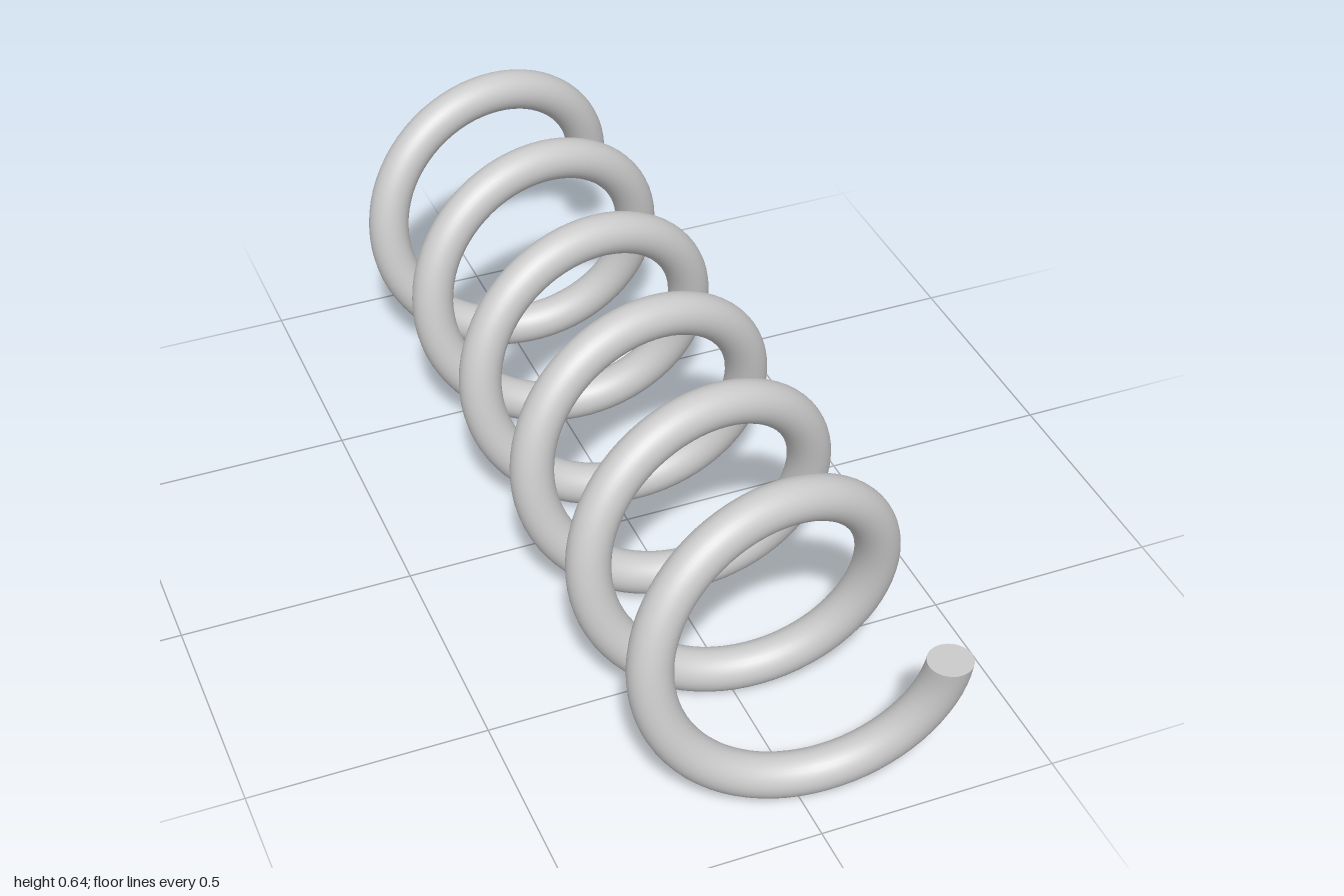
import * as THREE from 'three';
import { mergeVertices } from 'three/addons/utils/BufferGeometryUtils.js';

const TURNS = 6;
const WIRE = 0.0455; // wire radius
const COIL = 0.273; // radius of the coil's centre line
const HALF = 1 - WIRE; // z of the wire's end centres
const SIDES = 32;

export function createModel() {
  const group = new THREE.Group();
  group.name = 'coilSpring';
  const material = new THREE.MeshStandardMaterial({ color: 0xcccccc });
  const centreY = COIL + WIRE;

  // Coil: a torus wound six times round, drawn out along z
  const steps = TURNS * 72;
  let geometry = new THREE.TorusGeometry(COIL, WIRE, SIDES, steps, TURNS * Math.PI * 2);
  const pos = geometry.attributes.position;
  for (let i = 0; i < pos.count; i++) {
    const t = (i % (steps + 1)) / steps;
    pos.setZ(i, pos.getZ(i) + HALF * (2 * t - 1));
  }
  // Weld the seam so the shading stays smooth
  geometry.deleteAttribute('uv');
  geometry.deleteAttribute('normal');
  geometry = mergeVertices(geometry, 1e-5);
  geometry.computeVertexNormals();
  const coil = new THREE.Mesh(geometry, material);
  coil.name = 'coil';
  coil.position.y = centreY;
  group.add(coil);

  // Flat ends: the front one faces up, the back one faces down
  for (const side of [1, -1]) {
    const cap = new THREE.Mesh(new THREE.CircleGeometry(WIRE, SIDES), material);
    cap.name = side > 0 ? 'frontEnd' : 'backEnd';
    cap.rotation.x = -side * Math.PI / 2;
    cap.position.set(COIL, centreY, side * HALF);
    group.add(cap);
  }
  return group;
}
